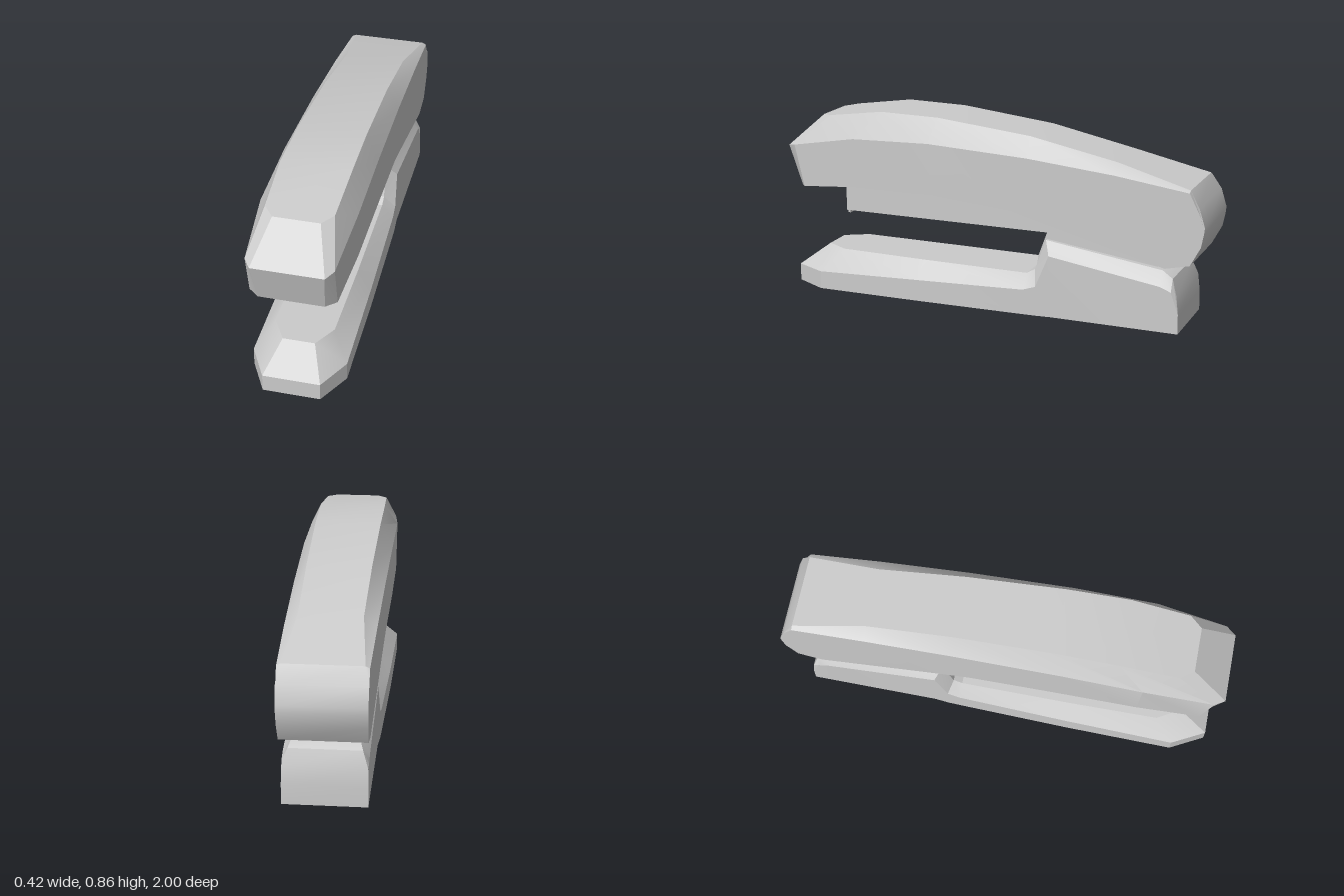
import * as THREE from 'three';
import { toCreasedNormals } from 'three/addons/utils/BufferGeometryUtils.js';

const material = new THREE.MeshStandardMaterial({ color: 0xcccccc });

function mesh(name, geometry) {
  const m = new THREE.Mesh(geometry, material);
  m.name = name;
  return m;
}

// Closed loft: each section lists the +x points (bottom, shoulder, top), mirrored to -x.
function loft(sections, crease) {
  const pos = [], idx = [], n = 6;
  for (const half of sections) {
    const mirrored = half.map(([x, y, z]) => [-x, y, z]).reverse();
    for (const p of [...half, ...mirrored]) pos.push(...p);
  }
  for (let i = 0; i < sections.length - 1; i++) {
    for (let j = 0; j < n; j++) {
      const a = i * n + j, b = i * n + (j + 1) % n;
      idx.push(a, a + n, b, b, a + n, b + n);
    }
  }
  const cap = [0, 1, 4, 0, 4, 5, 1, 2, 3, 1, 3, 4];
  const last = (sections.length - 1) * n;
  idx.push(...cap, ...cap.map((k) => last + k).reverse());
  const g = new THREE.BufferGeometry();
  g.setAttribute('position', new THREE.Float32BufferAttribute(pos, 3));
  g.setIndex(idx);
  return toCreasedNormals(g, crease);
}

// Plate with a (z, y) outline, extruded across x from x0 to x1.
function plate(points, x0, x1) {
  const shape = new THREE.Shape(points.map(([z, y]) => new THREE.Vector2(-z, y)));
  const g = new THREE.ExtrudeGeometry(shape, { depth: x1 - x0, bevelEnabled: false });
  return g.rotateY(Math.PI / 2).translate(x0, 0, 0);
}

export function createModel() {
  const group = new THREE.Group();
  group.name = 'stapler';

  // Arched upper handle with chamfered nose and rounded tail
  group.add(mesh('handle', loft([
    [[0.14, 0.48, 0.945], [0.155, 0.667, 1.0], [0.10, 0.815, 0.84]],
    [[0.185, 0.484, 0.91], [0.185, 0.677, 0.955], [0.145, 0.822, 0.785]],
    [[0.205, 0.51, 0.63], [0.208, 0.735, 0.64], [0.153, 0.86, 0.52]],
    [[0.207, 0.51, 0.25], [0.207, 0.745, 0.27], [0.15, 0.855, 0.24]],
    [[0.2, 0.475, -0.13], [0.2, 0.72, -0.2], [0.143, 0.807, -0.2]],
    [[0.195, 0.43, -0.3], [0.193, 0.68, -0.6], [0.137, 0.725, -0.6]],
    [[0.183, 0.29, -0.83], [0.186, 0.633, -0.93], [0.168, 0.642, -0.93]],
    [[0.183, 0.315, -0.94], [0.186, 0.53, -0.983], [0.186, 0.57, -0.975]],
    [[0.184, 0.40, -0.985], [0.185, 0.46, -0.997], [0.185, 0.49, -1.0]],
  ], 0.42)));

  // Base with chamfered toe and raised heel
  group.add(mesh('base', loft([
    [[0.125, 0, 0.98], [0.125, 0.08, 0.98], [0.07, 0.183, 0.845]],
    [[0.205, 0, 0.83], [0.205, 0.083, 0.83], [0.13, 0.183, 0.74]],
    [[0.2, 0, 0.33], [0.2, 0.1, 0.33], [0.135, 0.18, 0.33]],
    [[0.188, 0, -0.18], [0.188, 0.115, -0.18], [0.135, 0.178, -0.18]],
    [[0.186, 0, -0.24], [0.186, 0.135, -0.24], [0.135, 0.2, -0.22]],
    [[0.18, 0, -0.31], [0.18, 0.282, -0.3], [0.13, 0.34, -0.27]],
    [[0.18, 0, -0.82], [0.18, 0.205, -0.81], [0.14, 0.268, -0.81]],
    [[0.18, 0, -0.87], [0.18, 0.185, -0.86], [0.155, 0.24, -0.86]],
    [[0.18, 0, -0.895], [0.18, 0.09, -0.894], [0.178, 0.17, -0.885]],
  ], 0.42)));

  // Staple magazine under the handle
  group.add(mesh('magazine', plate(
    [[0.745, 0.36], [0.745, 0.55], [0.2, 0.55], [-0.5, 0.46], [-0.5, 0.36]], -0.083, 0.083)));

  // Small guide lips at the magazine nose, and hinge bracket walls
  for (const side of [-1, 1]) {
    const lip = mesh('magazineLip', new THREE.BoxGeometry(0.03, 0.016, 0.012));
    lip.position.set(side * 0.055, 0.353, 0.739);
    group.add(lip);

    const x = side * 0.097;
    group.add(mesh('hingeWall', plate(
      [[-0.225, 0.25], [-0.29, 0.43], [-0.78, 0.305], [-0.78, 0.25]], x - 0.016, x + 0.016)));
  }

  // Bracket floor joining the hinge walls
  group.add(mesh('hingeFloor', plate(
    [[-0.222, 0.225], [-0.228, 0.25], [-0.3, 0.25], [-0.3, 0.225]], -0.113, 0.113)));

  return group;
}
